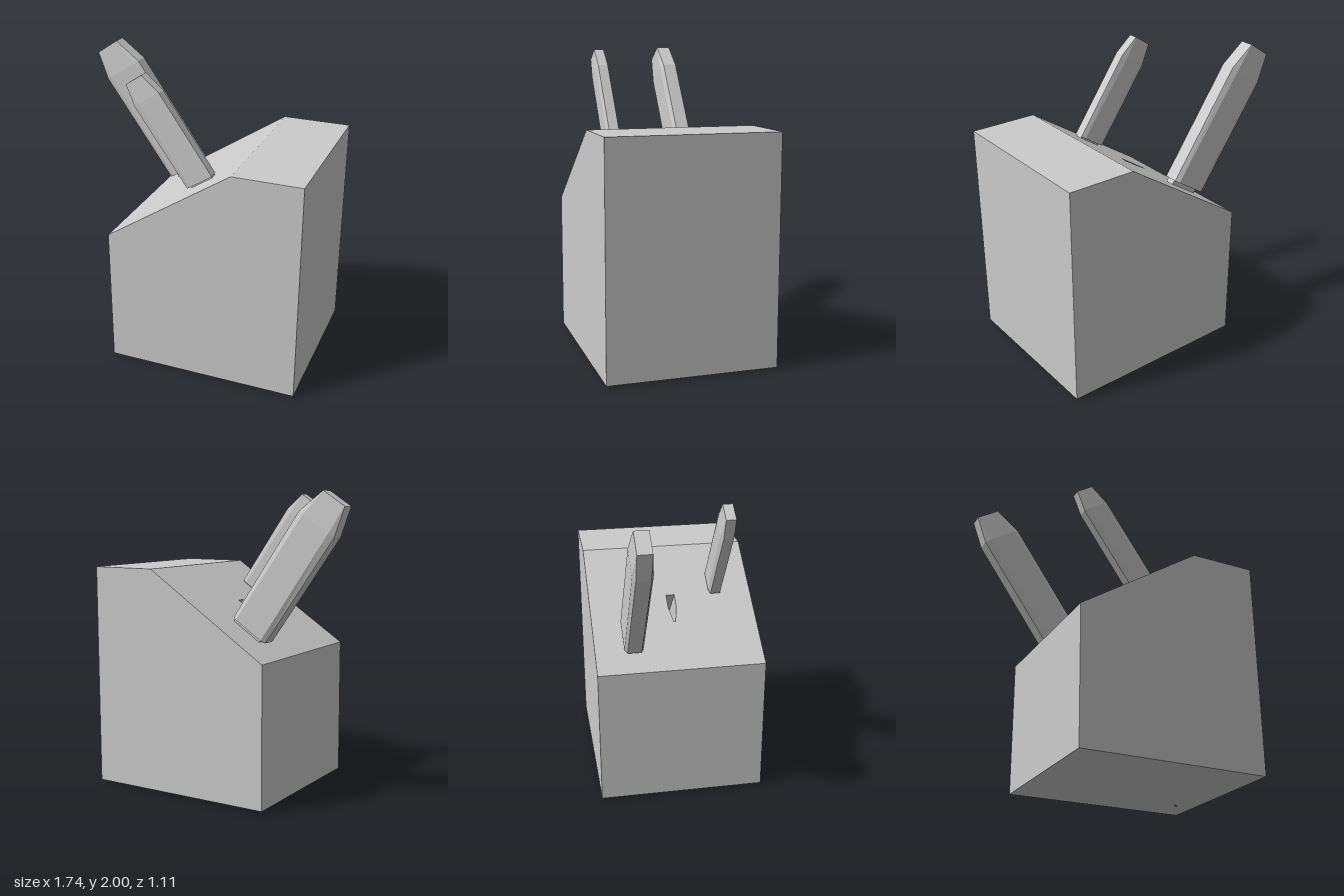
import * as THREE from 'three';

const material = new THREE.MeshStandardMaterial({ color: 0xcccccc, flatShading: true });
const openMaterial = material.clone();
openMaterial.side = THREE.DoubleSide;

function mesh(name, geometry, mat = material) {
  const m = new THREE.Mesh(geometry, mat);
  m.name = name;
  return m;
}

// Joins rings of [x, y, z] points, listed bottom to top, with optional end caps.
function loft(rings, capBottom = true, capTop = true) {
  const pos = [];
  const tri = (...pts) => pts.forEach((p) => pos.push(...p));
  const n = rings[0].length;
  const last = rings[rings.length - 1];
  for (let i = 0; i < n; i++) {
    const j = (i + 1) % n;
    for (let k = 0; k + 1 < rings.length; k++) {
      const lo = rings[k], hi = rings[k + 1];
      tri(lo[i], hi[i], hi[j]);
      tri(lo[i], hi[j], lo[j]);
    }
    if (i > 0 && i < n - 1) {
      if (capBottom) tri(rings[0][0], rings[0][i], rings[0][j]);
      if (capTop) tri(last[0], last[j], last[i]);
    }
  }
  const g = new THREE.BufferGeometry();
  g.setAttribute('position', new THREE.Float32BufferAttribute(pos, 3));
  g.computeVertexNormals();
  return g;
}

// Chamfered rectangle: x from a to b, half thickness h, chamfers cx and cz.
function octagon(y, a, b, h, cx, cz) {
  return [
    [b, y, h - cz], [b - cx, y, h], [a + cx, y, h], [a, y, h - cz],
    [a, y, cz - h], [a + cx, y, -h], [b - cx, y, -h], [b, y, cz - h],
  ];
}

// Wedge-shaped knife slot outline, narrow at its low end.
function slotRing(y, tip, h) {
  return [[0.588, y, h], [0.49, y, h], [0.372, y, tip], [0.372, y, -tip], [0.49, y, -h], [0.588, y, -h]];
}

// Knife standing on the sloped face; x runs up the slope, y along the handle.
function knife(name, z, k) {
  const g = new THREE.Group();
  g.name = name;
  g.position.z = z;
  const { base, shoulder, end, half, endHalf, bolster, blade } = k;
  const cz = half - endHalf;
  g.add(mesh('handle', loft([
    octagon(base[0], base[1], base[2], half, 0.03, cz),
    octagon(shoulder[0], shoulder[1], shoulder[2], half, 0.04, cz),
    octagon(end[0], end[1], end[2], endHalf, 0, 0),
  ])));
  const [b0, b1, bh] = bolster;
  const collar = new THREE.BoxGeometry(b1 - b0, 0.06, bh * 2);
  collar.translate((b0 + b1) / 2, base[0] - 0.02, 0);
  g.add(mesh('bolster', collar));
  // Blade hidden inside the block
  const shape = new THREE.Shape(blade.map((p) => new THREE.Vector2(...p)));
  const bladeGeo = new THREE.ExtrudeGeometry(shape, { depth: 0.012, bevelEnabled: false });
  bladeGeo.translate(0, 0, -0.006);
  g.add(mesh('blade', bladeGeo));
  return g;
}

export function createModel() {
  const model = new THREE.Group();
  model.name = 'knifeBlock';
  const D = 0.5525;
  const low = [-0.43, 0.945], high = [0.41, 1.5];
  const outline = [low, [-0.43, 0.015], [0.865, 0.015], [0.865, 1.5], high];

  // Block walls: two side panels and strips round the outline, leaving the slope open
  const block = new THREE.Group();
  block.name = 'block';
  const side = new THREE.Shape(outline.map((p) => new THREE.Vector2(...p)));
  for (const s of [1, -1]) {
    const g = new THREE.ShapeGeometry(side);
    g.translate(0, 0, s * D);
    block.add(mesh('sidePanel', g, openMaterial));
  }
  for (let i = 0; i < 4; i++) {
    const [x0, y0] = outline[i], [x1, y1] = outline[i + 1];
    const g = new THREE.PlaneGeometry(Math.hypot(x1 - x0, y1 - y0), 2 * D);
    g.rotateX(Math.PI / 2);
    g.rotateZ(Math.atan2(y1 - y0, x1 - x0));
    g.translate((x0 + x1) / 2, (y0 + y1) / 2, 0);
    block.add(mesh('wall', g, openMaterial));
  }
  model.add(block);

  // Everything on the slope shares its tilted frame
  const slope = new THREE.Group();
  slope.name = 'slope';
  slope.position.set(low[0], low[1], 0);
  slope.rotation.z = Math.atan2(high[1] - low[1], high[0] - low[0]);
  const length = Math.hypot(high[0] - low[0], high[1] - low[1]);
  const face = new THREE.Shape([[0, -D], [length, -D], [length, D], [0, D]].map((p) => new THREE.Vector2(...p)));
  const mouth = slotRing(0, 0.006, 0.028);
  face.holes.push(new THREE.Path(mouth.map((p) => new THREE.Vector2(p[0], p[2]))));
  const faceGeo = new THREE.ShapeGeometry(face);
  faceGeo.rotateX(-Math.PI / 2);
  slope.add(mesh('slopedFace', faceGeo, openMaterial));

  // Empty slot between the knives
  slope.add(mesh('emptySlot', loft([slotRing(-0.3, 0.003, 0.005), mouth], true, false), openMaterial));

  slope.add(knife('largeKnife', -0.3, {
    base: [0.028, 0.136, 0.416], shoulder: [0.85, 0.113, 0.398], end: [1.042, 0.159, 0.331],
    half: 0.063, endHalf: 0.046, bolster: [0.18, 0.408, 0.03],
    blade: [[0.19, 0], [0.22, -0.9], [0.438, -1.42], [0.4, 0]],
  }));
  slope.add(knife('smallKnife', 0.308, {
    base: [0.01, 0.571, 0.771], shoulder: [0.625, 0.555, 0.756], end: [0.772, 0.586, 0.715],
    half: 0.045, endHalf: 0.033, bolster: [0.6, 0.765, 0.025],
    blade: [[0.61, 0], [0.63, -0.6], [0.75, -0.9], [0.75, 0]],
  }));
  model.add(slope);
  return model;
}
